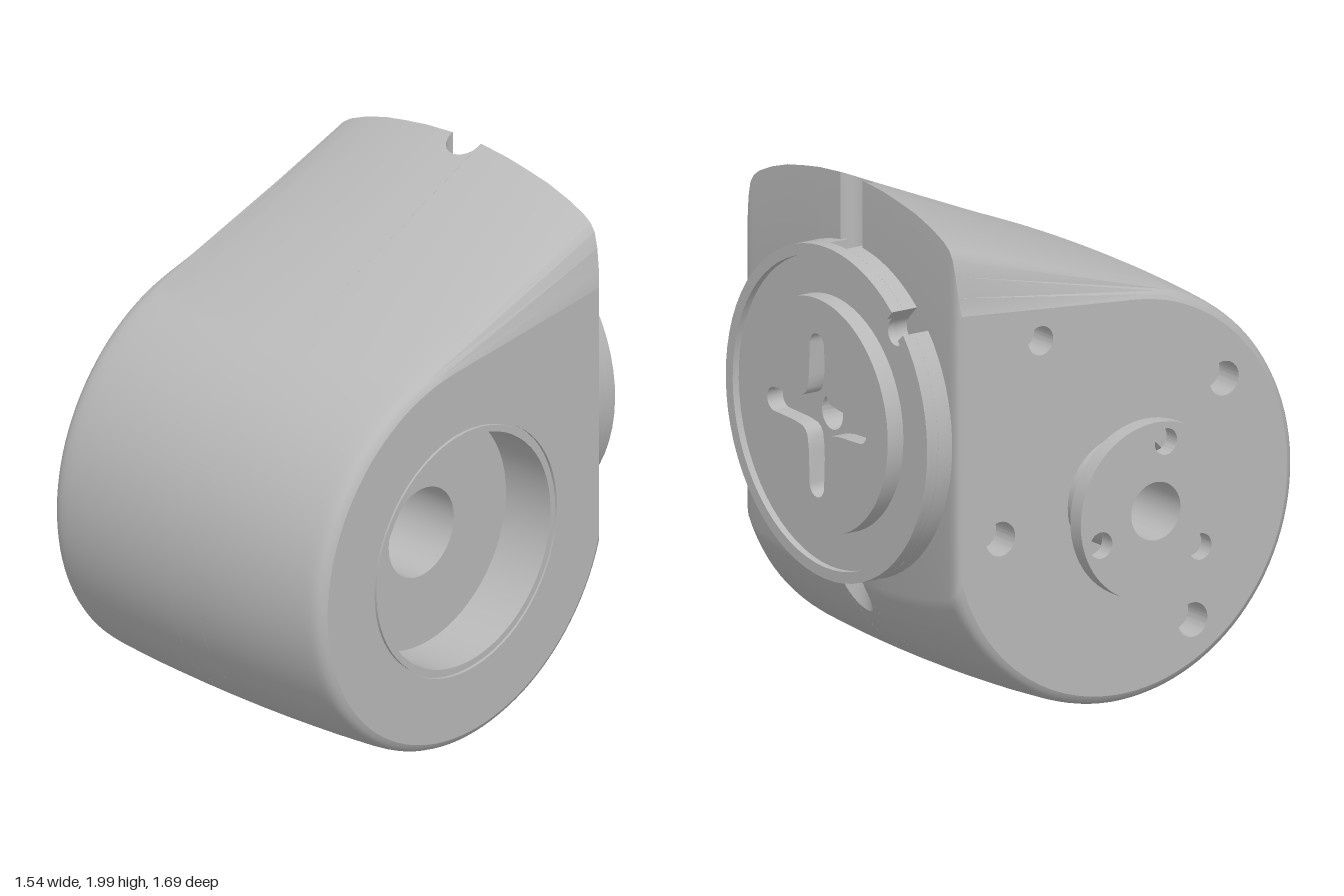
import * as THREE from 'three';
import { toCreasedNormals } from 'three/addons/utils/BufferGeometryUtils.js';

const grey = new THREE.MeshStandardMaterial({ color: 0xb8b8b8, side: THREE.DoubleSide });
grey.name = 'plain grey';

const MID = 0.105;            // middle of the housing along x
const AXIS = { y: 0.815, z: 0.04 }; // shaft axis, runs along x
const HALF = 0.665;           // half width of the housing

function mesh(name, geo, parent) {
  const m = new THREE.Mesh(toCreasedNormals(geo, 0.55), grey);
  m.name = name;
  parent.add(m);
  return m;
}

// Surface of revolution about an x-parallel axis; points are [radius, x]
function turned(name, pts, parent, y = AXIS.y, z = AXIS.z) {
  const geo = new THREE.LatheGeometry(pts.map(p => new THREE.Vector2(p[0], p[1])), 64);
  geo.rotateZ(-Math.PI / 2);
  geo.translate(0, y, z);
  return mesh(name, geo, parent);
}

function circleHole(x, y, r) {
  return new THREE.Path().absarc(x, y, r, 0, Math.PI * 2, true);
}

function extruded(name, shape, from, to, parent) {
  const geo = new THREE.ExtrudeGeometry(shape, { depth: to - from, bevelEnabled: false, curveSegments: 32 });
  geo.translate(0, 0, from);
  return mesh(name, geo, parent);
}

// Teardrop section in (-z, y): drum radius R, top corner height T, flat back at B, slot cut to S
function section(R, T, B, S = B) {
  const cx = -AXIS.z, cy = AXIS.y;
  const dx = B - cx, dy = T - cy;
  const start = Math.atan2(dy, dx) + Math.acos(R / Math.hypot(dx, dy));
  const tx = cx + R * Math.cos(start), ty = cy + R * Math.sin(start);
  const end = Math.PI * 2 - Math.acos(Math.min(1, (S - cx) / R));
  const pts = [new THREE.Vector2(S, ty + (T - ty) * (S - tx) / (B - tx))];
  for (let i = 0; i <= 72; i++) {
    const a = start + (end - start) * i / 72;
    pts.push(new THREE.Vector2(cx + R * Math.cos(a), cy + R * Math.sin(a)));
  }
  return pts;
}

// Half-width stations: [offset from middle, drum radius, top height, back]
const STATIONS = [
  [0.07, 0.805, 1.999, 0.69], [0.2, 0.803, 1.987, 0.69], [0.3, 0.8, 1.97, 0.69],
  [0.4, 0.796, 1.95, 0.69], [0.5, 0.79, 1.918, 0.69], [0.575, 0.785, 1.885, 0.69],
  [0.61, 0.781, 1.86, 0.69], [0.63, 0.777, 1.83, 0.69], [0.645, 0.77, 1.77, 0.688],
  [0.657, 0.758, 1.69, 0.683], [HALF, 0.742, 1.62, 0.675],
];

function housing(parent) {
  // Crowned shell lofted across x, with a round slot down the back
  const rows = [];
  for (const [u, R, T, B] of STATIONS) {
    const pts = section(R, T, B);
    rows.push([u, pts], [-u, pts]);
  }
  for (let i = -8; i <= 8; i++) {
    const u = 0.07 * Math.sin(i / 8 * Math.PI / 2);
    rows.push([u * 0.9999, section(0.805, 2, 0.69, 0.68 - Math.sqrt(Math.max(0, 0.0049 - u * u)))]);
  }
  rows.sort((a, b) => a[0] - b[0]);
  const n = rows[0][1].length, pos = [], idx = [];
  rows.forEach(([u, pts], k) => {
    pts.forEach(p => pos.push(p.x, p.y, u + MID));
    if (k === 0) return;
    for (let j = 0; j < n; j++) {
      const a = (k - 1) * n + j, b = (k - 1) * n + (j + 1) % n;
      idx.push(a, b, b + n, a, b + n, a + n);
    }
  });
  const geo = new THREE.BufferGeometry();
  geo.setAttribute('position', new THREE.Float32BufferAttribute(pos, 3));
  geo.setIndex(idx);
  geo.rotateY(Math.PI / 2);
  mesh('housingShell', geo, parent);

  // Flat side faces with their openings
  const [, R, T, B] = STATIONS[STATIONS.length - 1];
  const side = (name, x, holes) => {
    const shape = new THREE.Shape(section(R, T, B));
    holes.forEach(([z, y, r]) => shape.holes.push(circleHole(-z, y, r)));
    const face = new THREE.ShapeGeometry(shape, 32);
    face.rotateY(Math.PI / 2);
    face.translate(x, 0, 0);
    mesh(name, face, parent);
  };
  const left = MID + HALF, right = MID - HALF;
  const screws = [[-0.32, 1.47, 0.055], [0.5, 1.19, 0.065], [-0.5, 0.75, 0.065], [0.36, 0.3, 0.065]];
  side('leftFace', left, [[AXIS.z, AXIS.y, 0.49]]);
  side('rightFace', right, [[AXIS.z, AXIS.y, 0.24], ...screws]);
  screws.forEach(([z, y, r]) =>
    turned('screwHole', [[r, right], [r, right + 0.12], [0.001, right + 0.12]], parent, y, z));

  // Stepped socket with a seam ring, running into the through bore
  turned('bearingSocket', [
    [0.49, left], [0.49, left - 0.012], [0.48, left - 0.012], [0.48, left], [0.455, left],
    [0.455, 0.55], [0.175, 0.55], [0.175, 0.25], [0.11, 0.25], [0.11, -0.775],
  ], parent);
}

function outputShaft(parent) {
  const right = MID - HALF;
  turned('shaftRecess', [[0.24, right], [0.24, right + 0.1], [0.187, right + 0.1]], parent);
  turned('shaft', [[0.187, right + 0.1], [0.187, -0.71]], parent);
  // Bolted flange
  const shape = new THREE.Shape().absarc(0, 0, 0.336, 0, Math.PI * 2);
  shape.holes.push(circleHole(0, 0, 0.11));
  for (const deg of [100, 220, 340]) {
    const a = deg * Math.PI / 180;
    shape.holes.push(circleHole(0.26 * Math.cos(a), 0.26 * Math.sin(a), 0.05));
  }
  const flange = extruded('flange', shape, -0.775, -0.71, parent);
  flange.geometry.rotateY(Math.PI / 2);
  flange.geometry.translate(0, AXIS.y, AXIS.z);
}

// Disc outline with round-bottomed notches at the given angles
function notchedDisc(r, angles) {
  const shape = new THREE.Shape();
  const w = 0.05, half = Math.asin(w / r), depth = r - 0.07;
  const at = (a, u, v) => [u * Math.cos(a) - v * Math.sin(a), u * Math.sin(a) + v * Math.cos(a)];
  angles.forEach((a, i) => {
    const next = i + 1 < angles.length ? angles[i + 1] : angles[0] + Math.PI * 2;
    const edge = at(a, r * Math.cos(half), -w);
    if (i === 0) shape.moveTo(...edge);
    for (let k = 0; k <= 10; k++) {
      const t = -Math.PI / 2 + Math.PI * k / 10;
      shape.lineTo(...at(a, depth - w * Math.cos(t), w * Math.sin(t)));
    }
    shape.absarc(0, 0, r, a + half, next - half, false);
  });
  return shape;
}

function backMount(parent) {
  const mount = new THREE.Group();
  mount.name = 'backMount';
  mount.position.set(MID, 1.12, 0);
  mount.rotation.y = Math.PI;
  parent.add(mount);
  const q = Math.PI / 4;

  // Base disc in two layers, the lower one also notched at the top
  const lower = notchedDisc(0.628, [q, 2 * q]);
  const upper = notchedDisc(0.628, [q]);
  for (const s of [lower, upper]) s.holes.push(circleHole(0, 0, 0.065));
  extruded('mountBase', lower, 0.67, 0.75, mount);
  extruded('mountPlate', upper, 0.75, 0.775, mount);

  // Raised rim, open at the notch
  const gap = 0.08;
  const rim = new THREE.Shape().absarc(0, 0, 0.628, q + gap, q + 2 * Math.PI - gap, false);
  rim.absarc(0, 0, 0.585, q + 2 * Math.PI - gap, q + gap, true);
  extruded('mountRim', rim, 0.775, 0.802, mount);

  // Centre disc with a cross-shaped slot
  const disc = new THREE.Shape().absarc(0, 0, 0.442, 0, Math.PI * 2);
  const cross = [];
  for (let k = 0; k < 4; k++) {
    const arm = [[0.07, -0.07], [0.09, -0.058], [0.14, -0.05]];
    for (let i = 0; i <= 10; i++) {
      const t = -Math.PI / 2 + Math.PI * i / 10;
      arm.push([0.265 + 0.045 * Math.cos(t), 0.045 * Math.sin(t)]);
    }
    arm.push([0.14, 0.05], [0.09, 0.058]);
    arm.forEach(p => cross.push(new THREE.Vector2(...p).rotateAround(new THREE.Vector2(), k * Math.PI / 2)));
  }
  disc.holes.push(new THREE.Path(cross.reverse()));
  extruded('crossSlotDisc', disc, 0.775, 0.845, mount);
}

export function createModel() {
  const model = new THREE.Group();
  model.name = 'jointHousing';
  housing(model);
  outputShaft(model);
  backMount(model);
  return model;
}
